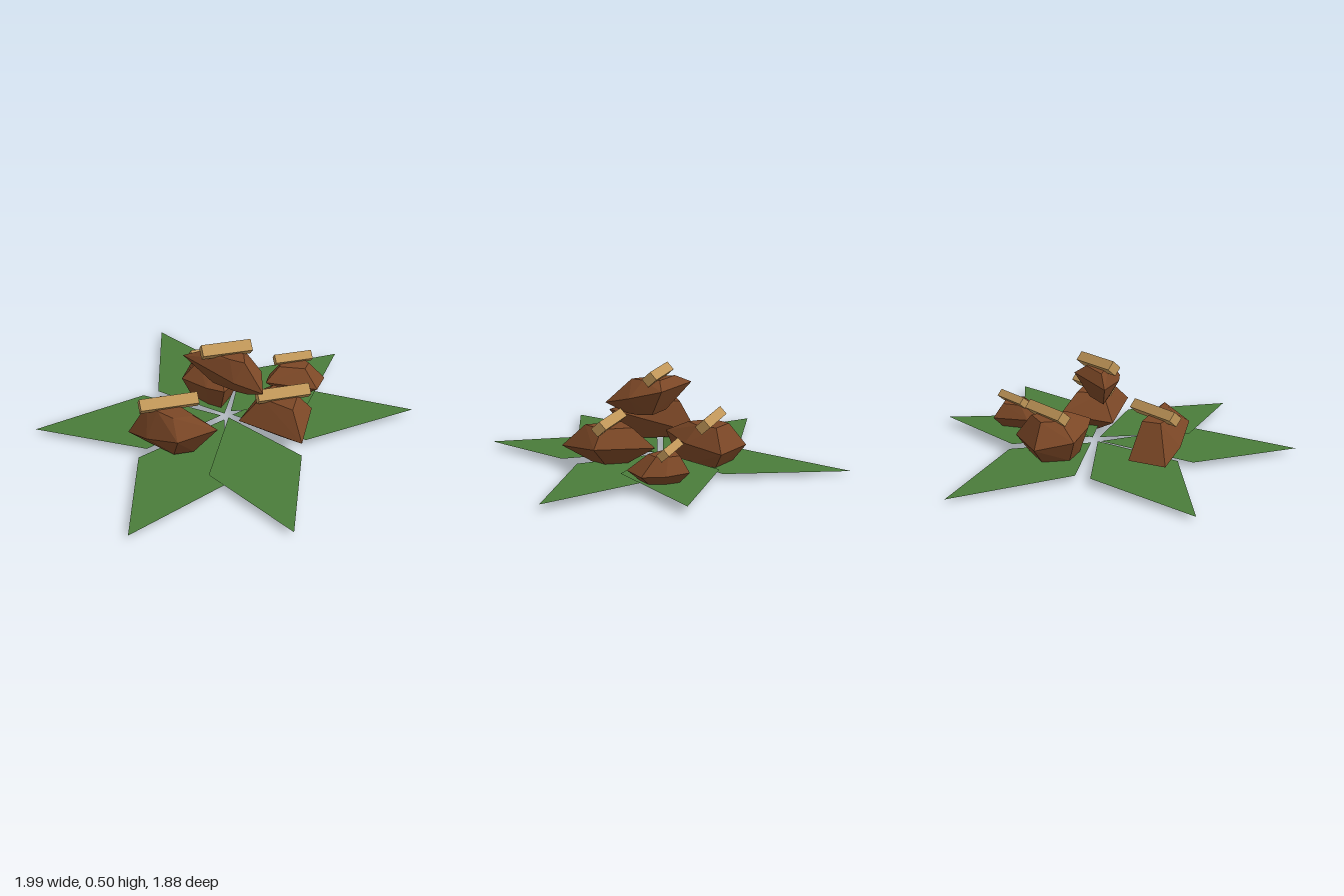
import * as THREE from 'three';
import { ConvexGeometry } from 'three/addons/geometries/ConvexGeometry.js';

const mat = (name, color, side = THREE.FrontSide) =>
  Object.assign(new THREE.MeshStandardMaterial({ color, side, flatShading: true }), { name });

// Kite leaf from the centre to its tip; reach is the distance from the centre to the shoulders
function leafGeometry(tipX, tipY, tipZ, reach, baseY) {
  const length = Math.hypot(tipX, tipZ);
  const dx = tipX / length, dz = tipZ / length, half = 0.245;
  const point = (along, across) => [
    dx * along - dz * across,
    THREE.MathUtils.lerp(baseY, tipY, along / length),
    dz * along + dx * across,
  ];
  const corners = [point(0.03, 0), point(reach, half), point(length, 0), point(reach, -half)];
  const geo = new THREE.BufferGeometry();
  geo.setAttribute('position', new THREE.Float32BufferAttribute(corners.flat(), 3));
  geo.setIndex([0, 1, 2, 0, 2, 3]);
  geo.computeVertexNormals();
  return geo;
}

// Faceted chunk: a sloping rim, a crown drawn in toward the bar and a keel drawn in toward the middle
function chunkGeometry({ rim, bar, mid, low, keel, slopeX = 0, slopeZ = 0 }) {
  const cx = rim.reduce((sum, p) => sum + p[0], 0) / rim.length;
  const cz = rim.reduce((sum, p) => sum + p[1], 0) / rim.length;
  const lerp = THREE.MathUtils.lerp;
  const points = [];
  for (const [x, z] of rim) {
    points.push(
      new THREE.Vector3(x, mid + slopeX * (x - cx) + slopeZ * (z - cz), z),
      new THREE.Vector3(lerp(bar[0], x, 0.5), bar[1] - 0.02, lerp(bar[2], z, 0.5)),
      new THREE.Vector3(lerp(cx, x, keel), low, lerp(cz, z, keel)),
    );
  }
  return new ConvexGeometry(points);
}

export function createModel() {
  const model = new THREE.Group();
  model.name = 'leafPlatter';
  const leafGreen = mat('leafGreen', 0x4a7c3a, THREE.DoubleSide);
  const chunkBrown = mat('chunkBrown', 0x7b4726);
  const barTan = mat('barTan', 0xc09658);

  const add = (name, geometry, material) => {
    const mesh = new THREE.Mesh(geometry, material);
    mesh.name = name;
    model.add(mesh);
    return mesh;
  };

  // Star of six leaves, each lying slightly above or below its neighbours
  const addLeaf = (name, ...shape) => add(name, leafGeometry(...shape), leafGreen);
  addLeaf('rightLeaf', -1, 0.03, 0, 0.43, 0.055);
  addLeaf('backRightLeaf', -0.3, 0.025, -0.94, 0.38, 0.045);
  addLeaf('backLeftLeaf', 0.68, 0.05, -0.56, 0.36, 0.065);
  addLeaf('leftLeaf', 0.99, 0.045, 0.03, 0.39, 0.055);
  addLeaf('frontLeftLeaf', 0.22, 0.035, 0.94, 0.45, 0.06);
  addLeaf('frontRightLeaf', -0.54, 0.035, 0.89, 0.51, 0.045);

  // Chunk with a square bar lying on one edge across its crown
  const addPiece = (name, shape) => {
    add(name + 'Chunk', chunkGeometry(shape), chunkBrown);
    const [x, y, z, length, thick] = shape.bar;
    const bar = add(name + 'Bar', new THREE.BoxGeometry(length, thick * 0.92, thick * 1.08), barTan);
    bar.position.set(x, y, z);
    bar.rotation.set(THREE.MathUtils.degToRad(42), 0.2, -0.03, 'YZX');
  };
  addPiece('frontRight', {
    rim: [[-0.38, -0.01], [-0.52, 0.12], [-0.43, 0.26], [-0.28, 0.4], [-0.08, 0.37], [-0.18, 0.22]],
    bar: [-0.31, 0.275, 0.18, 0.3, 0.056], mid: 0.14, low: 0.05, keel: 0.5, slopeX: 0.25, slopeZ: 0.2,
  });
  addPiece('frontLeft', {
    rim: [[0.21, -0.1], [0.43, 0.12], [0.34, 0.38], [0.05, 0.13]],
    bar: [0.275, 0.26, 0.13, 0.28, 0.056], mid: 0.13, low: 0.01, keel: 0.1, slopeX: 0.12, slopeZ: -0.08,
  });
  addPiece('top', {
    rim: [[-0.22, -0.06], [0.1, -0.07], [0.17, 0.08], [0.16, 0.23], [0.02, 0.15]],
    bar: [-0.005, 0.47, 0.015, 0.26, 0.056], mid: 0.37, low: 0.27, keel: 0.45, slopeZ: -0.25,
  });
  addPiece('backRight', {
    rim: [[-0.16, -0.42], [0.09, -0.41], [0.09, -0.2], [-0.01, -0.03], [-0.1, -0.09], [-0.22, -0.23]],
    bar: [-0.03, 0.26, -0.285, 0.28, 0.056], mid: 0.15, low: 0.04, keel: 0.7, slopeZ: 0.15,
  });
  addPiece('backLeft', {
    rim: [[0.4, -0.41], [0.5, -0.34], [0.56, -0.24], [0.5, -0.12], [0.23, -0.19], [0.26, -0.27]],
    bar: [0.39, 0.205, -0.295, 0.21, 0.045], mid: 0.11, low: 0.05, keel: 0.6, slopeX: -0.06,
  });
  return model;
}
